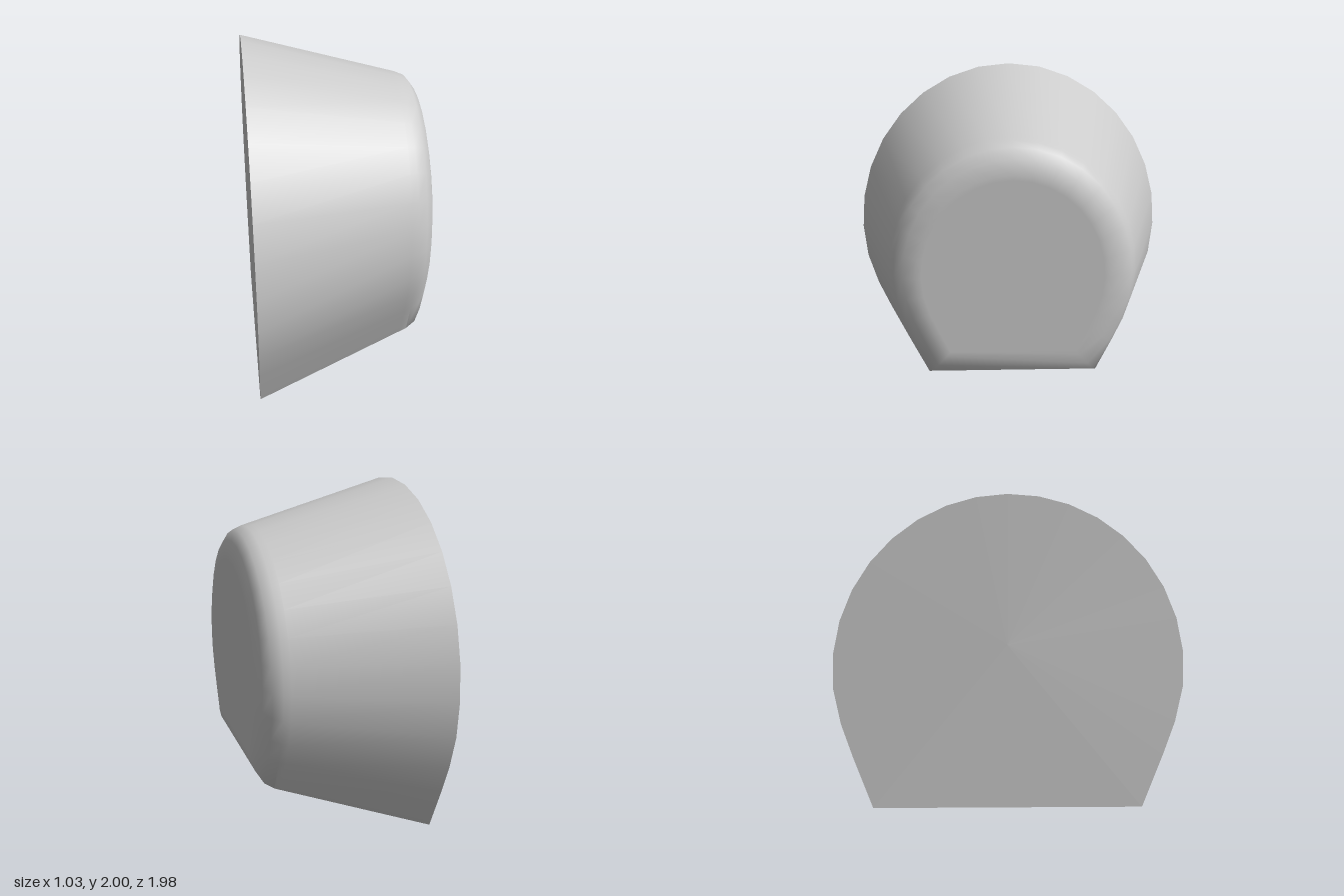
import * as THREE from 'three';
import { toCreasedNormals } from 'three/addons/utils/BufferGeometryUtils.js';

// Outline as [z, y]: an elliptical arch closed by a flat bottom edge
function archOutline() {
  const points = [[-0.7, 0]];
  for (let i = -11; i <= 11; i++) {
    const a = (i * Math.PI) / 16;
    points.push([0.99 * Math.sin(a), 0.9 + 1.1 * Math.cos(a)]);
  }
  // the lowest arch points sit on the straight run down to the corners
  points[1] = [-0.83, 0.285];
  points[2] = [-0.91, 0.475];
  points[points.length - 1] = [0.83, 0.285];
  points[points.length - 2] = [0.91, 0.475];
  // top of the lower run is shared with the arch, so drop the duplicates
  points.splice(3, 1, [-0.971, 0.685]);
  points.splice(points.length - 3, 1, [0.971, 0.685]);
  points.push([0.7, 0]);
  return points;
}

// Cross-sections along x: [x, scale, height of the bottom edge]
const SECTIONS = [
  [-0.515, 1, 0],
  [0.36, 0.737, 0.287],
  [0.4, 0.725, 0.3],
  [0.455, 0.697, 0.333],
  [0.495, 0.638, 0.395],
  [0.515, 0.56, 0.465],
  [0.515, 0.53, 0.495], // keeps the end face flat inside its rounded rim
];

function buildBody() {
  const outline = archOutline();
  const n = outline.length;
  const positions = [];
  const index = [];
  for (const [x, s, base] of SECTIONS) {
    for (const [z, y] of outline) positions.push(x, base + y * s, z * s);
  }

  // walls between neighbouring sections
  for (let r = 0; r < SECTIONS.length - 1; r++) {
    for (let j = 0; j < n; j++) {
      const k = (j + 1) % n;
      const a = r * n + j, b = r * n + k;
      index.push(a, b, a + n, b, b + n, a + n);
    }
  }

  // flat end faces
  const last = (SECTIONS.length - 1) * n;
  const centre = SECTIONS.length * n;
  positions.push(-0.515, 0.95, 0, 0.515, 1.02, 0);
  for (let j = 0; j < n; j++) {
    const k = (j + 1) % n;
    index.push(centre, k, j, centre + 1, last + j, last + k);
  }

  const geometry = new THREE.BufferGeometry();
  geometry.setAttribute('position', new THREE.Float32BufferAttribute(positions, 3));
  geometry.setIndex(index);
  return toCreasedNormals(geometry, Math.PI / 3.2);
}

export function createModel() {
  const group = new THREE.Group();
  group.name = 'taperedArchBlock';
  const body = new THREE.Mesh(buildBody(), new THREE.MeshStandardMaterial({ color: 0xcccccc }));
  body.name = 'body';
  group.add(body);
  return group;
}
